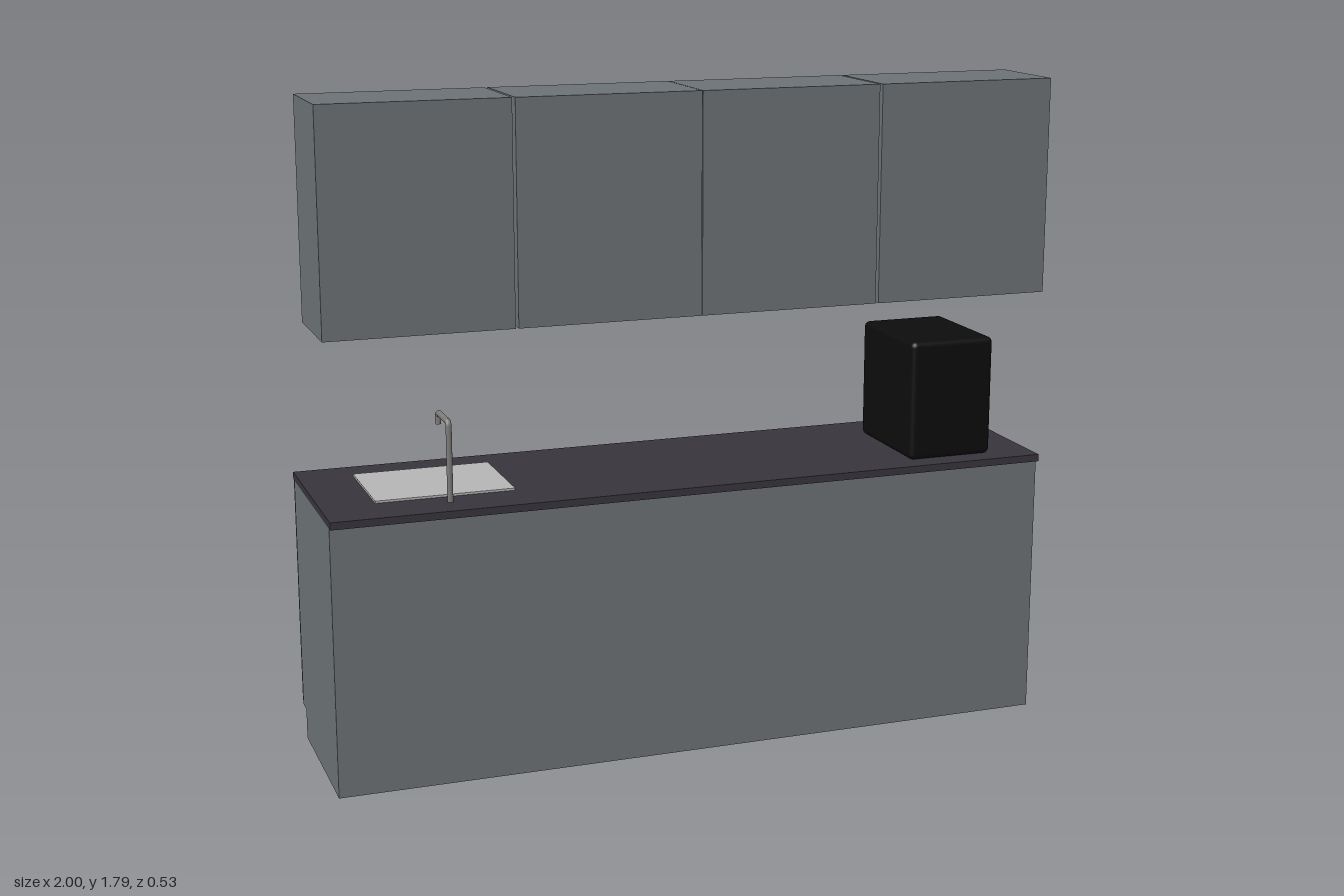
import * as THREE from 'three';
import { RoundedBoxGeometry } from 'three/addons/geometries/RoundedBoxGeometry.js';

const mat = (name, color) => {
  const m = new THREE.MeshStandardMaterial({ color });
  m.name = name;
  return m;
};

export function createModel() {
  const kitchen = new THREE.Group();
  kitchen.name = 'kitchenUnit';
  const grey = mat('cabinetGrey', 0x6b7175);
  const dark = mat('worktopCharcoal', 0x37343b);
  const black = mat('applianceBlack', 0x0c0c0c);
  const steel = mat('sinkSteel', 0xb4b4b4);
  const metal = mat('brushedMetal', 0x7c7a79);

  const add = (name, geometry, material) => {
    const mesh = new THREE.Mesh(geometry, material);
    mesh.name = name;
    kitchen.add(mesh);
    return mesh;
  };
  // Box given by its extents on each axis
  const box = (name, material, [x0, x1], [y0, y1], [z0, z1]) => {
    const mesh = add(name, new THREE.BoxGeometry(x1 - x0, y1 - y0, z1 - z0), material);
    mesh.position.set((x0 + x1) / 2, (y0 + y1) / 2, (z0 + z1) / 2);
    return mesh;
  };

  // Base cabinet: recessed plinth, carcass and doors on the -z side
  box('plinth', grey, [-1, 1], [0, 0.09], [-0.19, 0.25]);
  box('baseCarcass', grey, [-1, 1], [0.085, 0.73], [-0.232, 0.25]);
  for (const [x0, x1] of [[-1, 0], [0, 0.5], [0.5, 1]]) {
    box('baseDoor', grey, [x0 + 0.002, x1 - 0.002], [0.09, 0.726], [-0.25, -0.234]);
  }

  // Bar handles in pairs, on short posts
  for (const centre of [-0.5, 0.5]) {
    for (const side of [-1, 1]) {
      const x = centre + side * 0.033;
      add('handleBar', new THREE.CylinderGeometry(0.004, 0.004, 0.1, 10), metal)
        .position.set(x, 0.405, -0.261);
      for (const y of [0.365, 0.445]) {
        const post = add('handlePost', new THREE.CylinderGeometry(0.002, 0.002, 0.012, 8), metal);
        post.rotation.x = Math.PI / 2;
        post.position.set(x, y, -0.255);
      }
    }
  }

  // Worktop and sink
  box('worktop', dark, [-1, 1], [0.73, 0.75], [-0.247, 0.265]);
  box('sink', steel, [-0.855, -0.48], [0.748, 0.756], [-0.15, 0.13]);

  // Tap: upright, arm over the sink, short downturned nozzle
  const tapPath = new THREE.CurvePath();
  const points = [[0.75, 0.18], [0.955, 0.18], [0.963, 0.172], [0.963, 0.075], [0.955, 0.067], [0.94, 0.067]]
    .map(([y, z]) => new THREE.Vector3(-0.668, y, z));
  for (let i = 0; i < points.length - 1; i++) {
    tapPath.add(new THREE.LineCurve3(points[i], points[i + 1]));
  }
  add('tap', new THREE.TubeGeometry(tapPath, 90, 0.008, 12), metal);
  add('tapNozzle', new THREE.CylinderGeometry(0.008, 0.008, 0.012, 12), metal)
    .position.set(-0.668, 0.938, 0.067);

  // Countertop appliance
  add('appliance', new RoundedBoxGeometry(0.246, 0.333, 0.33, 3, 0.016), black)
    .position.set(0.75, 0.918, 0.051);

  // Wall cabinets with narrow gaps between them
  for (const [x0, x1] of [[-1, -0.504], [-0.496, -0.001], [0.001, 0.496], [0.504, 1]]) {
    box('wallCabinet', grey, [x0, x1], [1.21, 1.795], [-0.016, 0.25]);
  }
  return kitchen;
}
